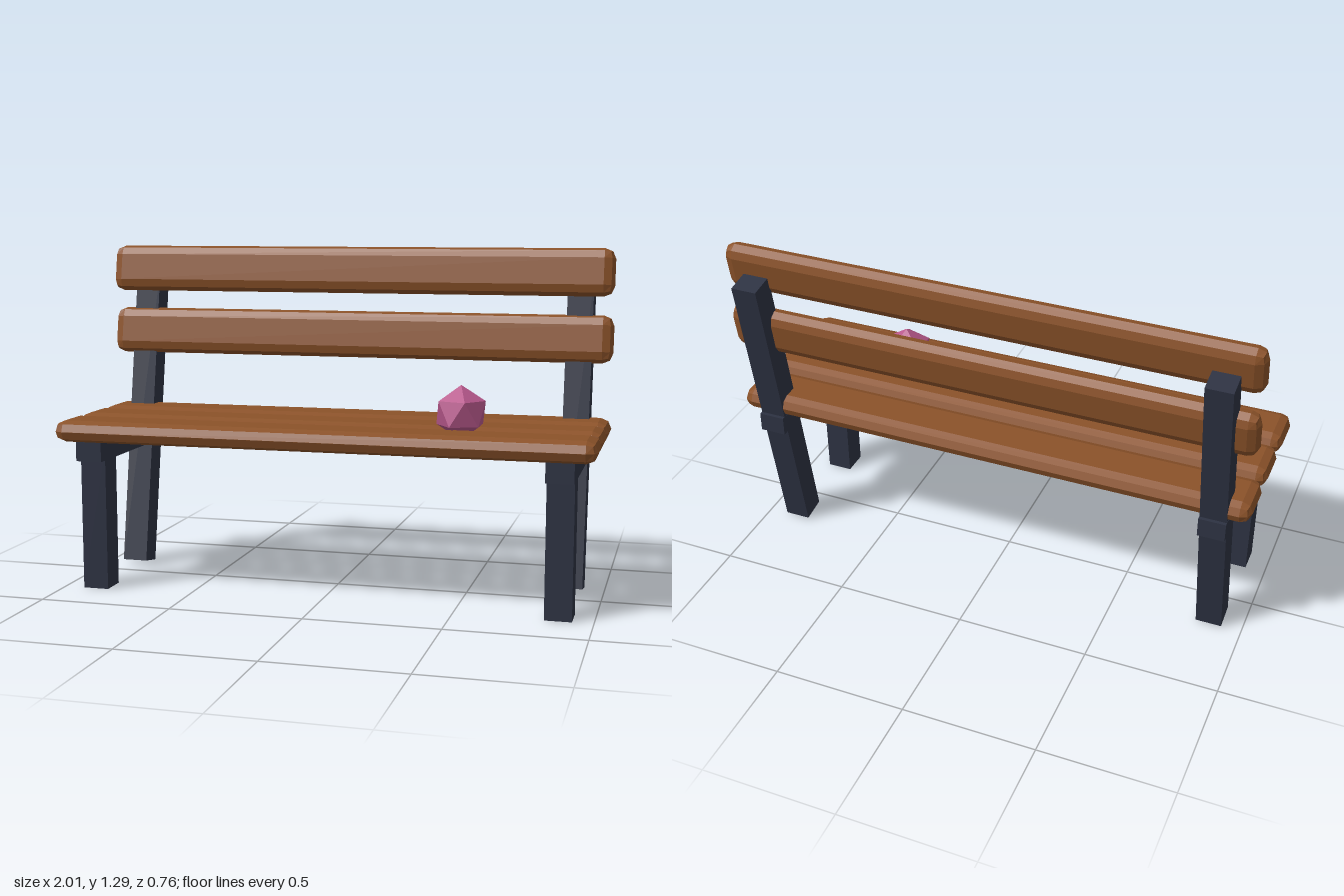
import * as THREE from 'three';
import { RoundedBoxGeometry } from 'three/addons/geometries/RoundedBoxGeometry.js';

const paint = (color) => new THREE.MeshStandardMaterial({ color, flatShading: true });
const wood = paint(0x8b5229);
const metal = paint(0x2d3242);
const pink = paint(0xb8588c);

const TILT = -THREE.MathUtils.degToRad(10);
const RADIUS = 0.04;

function addMesh(parent, name, geometry, material, x, y, z, tilt = 0) {
  const mesh = new THREE.Mesh(geometry, material);
  mesh.name = name;
  mesh.position.set(x, y, z);
  mesh.rotation.x = tilt;
  parent.add(mesh);
  return mesh;
}

// Plank with faceted edges; one bevel step pulls each face in, so pad the size
function slatGeometry(length, height, depth) {
  const pad = 2 * RADIUS * (1 - 0.9045);
  return new RoundedBoxGeometry(length + pad, height + pad, depth + pad, 1, RADIUS);
}

export function createModel() {
  const bench = new THREE.Group();
  bench.name = 'bench';

  // Seat planks
  const seatSlat = slatGeometry(2, 0.073, 0.198);
  for (const z of [0.278, 0.052, -0.173]) {
    addMesh(bench, 'seatSlat', seatSlat, wood, 0, 0.609, z);
  }

  // Backrest planks, leaning with the rear posts
  const backSlat = slatGeometry(2, 0.174, 0.073);
  for (const y of [0.945, 1.196]) {
    addMesh(bench, 'backSlat', backSlat, wood, 0, y, -0.249, TILT);
  }

  // Side frames: upright front leg, leaning rear post, and the rail joining them
  const frontLeg = new THREE.BoxGeometry(0.098, 0.53, 0.1);
  const rearPost = new THREE.BoxGeometry(0.098, 1.18, 0.097);
  const rail = new THREE.BoxGeometry(0.1, 0.073, 0.625);
  for (const side of [-1, 1]) {
    const frame = new THREE.Group();
    frame.name = side > 0 ? 'leftFrame' : 'rightFrame';
    frame.position.x = side * 0.875;
    addMesh(frame, 'frontLeg', frontLeg, metal, 0, 0.265, 0.251);
    addMesh(frame, 'rearPost', rearPost, metal, 0, 0.594, -0.226, TILT);
    addMesh(frame, 'seatRail', rail, metal, 0, 0.532, 0.028);
    bench.add(frame);
  }

  // Faceted ball standing on a corner between two seat planks
  const ball = new THREE.IcosahedronGeometry(0.1, 0);
  ball.rotateX(-Math.atan((1 + Math.sqrt(5)) / 2));
  ball.rotateY(Math.PI / 2);
  addMesh(bench, 'ball', ball, pink, 0.497, 0.705, 0.152);

  return bench;
}
